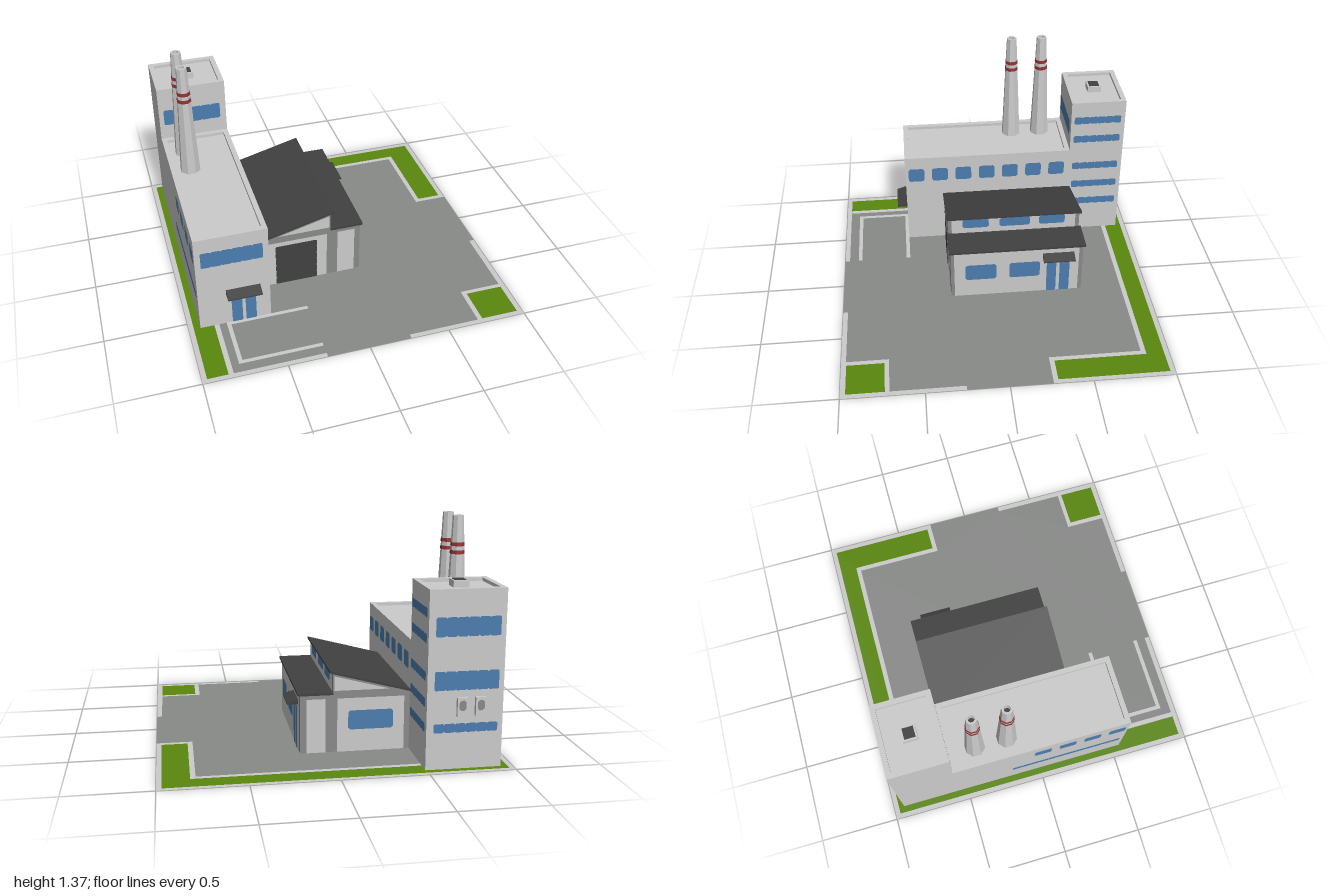
import * as THREE from 'three';

const mat = (name, color, side = THREE.FrontSide) => {
  const m = new THREE.MeshStandardMaterial({ color, side });
  m.name = name;
  return m;
};

export function createModel() {
  const model = new THREE.Group();
  model.name = 'factory';
  const wall = mat('pale concrete', 0xcbcbcb, THREE.DoubleSide);
  const grey = mat('asphalt grey', 0x888a88, THREE.DoubleSide);
  const grass = mat('grass green', 0x5a870d, THREE.DoubleSide);
  const dark = mat('dark roofing', 0x414141);
  const glass = mat('window blue', 0x4b7db0);
  const red = mat('warning red', 0x963232);

  const add = (name, geo, material, parent = model) => {
    const m = new THREE.Mesh(geo, material);
    m.name = name;
    parent.add(m);
    return m;
  };
  const path = (pts) => pts.map(([x, y]) => new THREE.Vector2(x, y));
  const box = (name, x0, x1, y0, y1, z0, z1, material) =>
    add(name, new THREE.BoxGeometry(x1 - x0, y1 - y0, z1 - z0), material)
      .position.set((x0 + x1) / 2, (y0 + y1) / 2, (z0 + z1) / 2);

  // Ground sheet, drawn in x and z
  const ground = (name, pts, material, hole, y = 0) => {
    const flip = (p) => path(p.map(([x, z]) => [x, -z]));
    const s = new THREE.Shape(flip(pts));
    if (hole) s.holes.push(new THREE.Path(flip(hole)));
    add(name, new THREE.ShapeGeometry(s).rotateX(-Math.PI / 2), material).position.y = y;
  };
  const rect = (x0, x1, z0, z1) => [[x0, z0], [x1, z0], [x1, z1], [x0, z1]];
  const lawn = [[-0.97, -0.97], [0.97, -0.97], [0.97, -0.29], [0.815, -0.29],
    [0.815, -0.86], [-0.845, -0.86], [-0.845, 0.97], [-0.97, 0.97]];
  const cornerLawn = rect(0.735, 0.968, 0.737, 0.968);
  ground('yard', [[-0.815, -0.83], [0.785, -0.83], [0.785, -0.26], [1, -0.26], [1, 0.255],
    [0.968, 0.255], [0.968, 0.71], [0.705, 0.71], [0.705, 0.97], [0.26, 0.97], [0.26, 1],
    [-0.26, 1], [-0.26, 0.97], [-0.815, 0.97]], grey);
  ground('lawn', lawn, grass);
  ground('cornerLawn', cornerLawn, grass);
  ground('kerb', [[-1, -1], [1, -1], [1, -0.26], [0.785, -0.26], [0.785, -0.83], [-0.815, -0.83],
    [-0.815, 0.97], [-0.26, 0.97], [-0.26, 1], [-1, 1]], wall, lawn);
  ground('cornerKerb', [[1, 0.255], [1, 1], [0.26, 1], [0.26, 0.97], [0.705, 0.97], [0.705, 0.71],
    [0.968, 0.71], [0.968, 0.255]], wall, cornerLawn);
  ground('parkingLine', [[-0.77, 0.555], [-0.26, 0.555], [-0.26, 0.58], [-0.745, 0.58],
    [-0.745, 0.885], [-0.26, 0.885], [-0.26, 0.91], [-0.77, 0.91]], wall, null, 0.002);

  // Thin plate on a wall; u runs along x (front, back) or z (sides)
  const turns = { front: 0, right: Math.PI / 2, back: Math.PI, left: -Math.PI / 2 };
  const plate = (name, face, d, u0, u1, y0, y1, material, r = 0.012) => {
    const w = (u1 - u0) / 2, h = (y1 - y0) / 2;
    const s = new THREE.Shape(path(r === 0
      ? [[-w, -h], [w, -h], [w, h], [-w, h]]
      : [[-w + r, -h], [w - r, -h], [w, -h + r], [w, h - r], [w - r, h], [-w + r, h], [-w, h - r], [-w, -h + r]]));
    const m = add(name, new THREE.ShapeGeometry(s), material);
    m.rotation.y = turns[face];
    const u = (u0 + u1) / 2, y = (y0 + y1) / 2;
    if (face === 'front' || face === 'back') m.position.set(u, y, d);
    else m.position.set(d, y, u);
  };
  // Ribbon window made of adjoining panes
  const ribbon = (name, face, d, u0, u1, y0, y1, n = 6) => {
    const step = (u1 - u0) / n;
    for (let i = 0; i < n; i++) plate(name, face, d, u0 + i * step, u0 + (i + 1) * step, y0, y1, glass, 0.007);
  };

  // Flat-roofed block with a raised parapet
  const block = (name, z0, z1, h) => {
    const x0 = -0.93, x1 = -0.49, t = 0.032, drop = 0.02;
    box(name, x0, x1, 0, h - drop, z0, z1, wall);
    const s = new THREE.Shape(path(rect(x0, x1, -z1, -z0)));
    s.holes.push(new THREE.Path(path(rect(x0 + t, x1 - t, -z1 + t, -z0 - t))));
    const g = new THREE.ExtrudeGeometry(s, { depth: drop, bevelEnabled: false }).rotateX(-Math.PI / 2);
    add(name + 'Parapet', g, wall).position.y = h - drop;
  };
  block('tower', -0.935, -0.57, 1.03);
  block('longBlock', -0.57, 0.555, 0.665);

  // Tower and long block windows
  ribbon('towerFrontWindow', 'front', -0.567, -0.9, -0.53, 0.765, 0.875);
  ribbon('frontWindow', 'front', 0.558, -0.895, -0.525, 0.46, 0.57);
  for (const y of [0.215, 0.36, 0.51, 0.725, 0.87])
    ribbon('towerSideWindow', 'right', -0.487, -0.907, -0.592, y, y + 0.053);
  for (const [y0, y1] of [[0.215, 0.268], [0.46, 0.57], [0.765, 0.875]])
    ribbon('towerBackWindow', 'back', -0.938, -0.9, -0.53, y0, y1);
  for (let i = 0; i < 7; i++) {
    const z = 0.48 - i * 0.16;
    plate('sideWindow', 'right', -0.487, z - 0.054, z + 0.054, 0.48, 0.58, glass);
    if (i < 4) plate('leftWindow', 'left', -0.933, z - 0.054, z + 0.054, 0.48, 0.58, glass);
  }
  ribbon('leftRibbonWindow', 'left', -0.933, -0.19, 0.53, 0.215, 0.268, 12);

  // Roof vent and wall cooling units
  box('roofVent', -0.755, -0.665, 1.0, 1.05, -0.795, -0.705, wall);
  box('ventOpening', -0.743, -0.677, 1.045, 1.053, -0.783, -0.717, dark);
  for (const x of [-0.795, -0.69]) {
    box('coolingUnit', x - 0.03, x + 0.03, 0.31, 0.42, -0.957, -0.93, wall);
    plate('coolingGrille', 'back', -0.959, x - 0.02, x + 0.02, 0.345, 0.405, grey);
  }

  // Eight-sided chimneys with two red bands each
  const lathe = (pts) => {
    const g = new THREE.LatheGeometry(path(pts), 8, Math.PI / 8).toNonIndexed();
    g.computeVertexNormals();
    return g;
  };
  const radius = (y) => 0.064 - 0.031 * (y - 0.64) / 0.73;
  for (const z of [-0.4, -0.2]) {
    const chimney = new THREE.Group();
    chimney.name = 'chimney';
    chimney.position.set(-0.805, 0, z);
    model.add(chimney);
    add('stack', lathe([[radius(0.64), 0.64], [radius(1.37), 1.37], [0.02, 1.37], [0.02, 1.3]]), wall, chimney);
    add('flue', lathe([[0.021, 1.31], [0, 1.31]]), dark, chimney);
    for (const y of [1.142, 1.189])
      add('band', lathe([[radius(y), y], [radius(y) + 0.002, y], [radius(y + 0.022) + 0.002, y + 0.022],
        [radius(y + 0.022), y + 0.022]]), red, chimney);
  }

  // Workshop: stepped profile extruded along z
  const along = (name, pts, z0, z1, material) =>
    add(name, new THREE.ExtrudeGeometry(new THREE.Shape(path(pts)), { depth: z1 - z0, bevelEnabled: false }),
      material).position.z = z0;
  along('workshop', [[-0.49, 0], [0.165, 0], [0.165, 0.355], [-0.03, 0.355], [-0.03, 0.481], [-0.49, 0.357]],
    -0.565, 0.295, grey);
  along('upperRoof', [[-0.49, 0.357], [-0.01, 0.484], [-0.01, 0.497], [-0.49, 0.37]], -0.58, 0.305, dark);
  box('lowerRoof', -0.03, 0.18, 0.354, 0.368, -0.58, 0.305, dark);

  // Pale infill panels between the workshop's grey frame
  for (const [face, d] of [['front', 0.298], ['back', -0.568]]) {
    plate('wallPanel', face, d, -0.457, -0.055, 0, 0.328, wall, 0);
    plate('narrowPanel', face, d, 0.015, 0.128, 0, 0.328, wall, 0);
    const gable = new THREE.Shape(path([[-0.37, 0.375], [-0.037, 0.375], [-0.037, 0.463]]));
    add('gablePanel', new THREE.ShapeGeometry(gable), wall).position.z = d;
  }
  plate('sidePanel', 'right', 0.168, -0.54, 0.272, 0, 0.354, wall, 0);
  plate('clerestoryPanel', 'right', -0.027, -0.54, 0.272, 0.368, 0.478, wall, 0);

  // Workshop openings
  for (let i = 0; i < 6; i++)
    plate('shutterSlat', 'front', 0.301, -0.39, -0.12, i * 0.05, (i + 1) * 0.05, dark, 0.006);
  plate('backWindow', 'back', -0.571, -0.39, -0.12, 0.135, 0.252, glass);
  for (const [z0, z1] of [[0, 0.2], [-0.285, -0.085]])
    plate('workshopWindow', 'right', 0.171, z0, z1, 0.132, 0.252, glass);
  for (const [z0, z1] of [[0.03, 0.2], [-0.24, -0.04], [-0.47, -0.3]])
    plate('clerestoryWindow', 'right', -0.024, z0, z1, 0.408, 0.475, glass);

  // Double doors under wedge canopies
  for (const [z0, z1] of [[-0.393, -0.33], [-0.48, -0.415]])
    plate('sideDoor', 'right', 0.171, z0, z1, 0, 0.262, glass, 0.006);
  for (const [x0, x1] of [[-0.73, -0.665], [-0.645, -0.58]])
    plate('frontDoor', 'front', 0.558, x0, x1, 0, 0.207, glass, 0.006);
  const canopy = (w) => new THREE.ExtrudeGeometry(
    new THREE.Shape(path([[0, 0], [0.068, 0], [0.068, 0.007], [0, 0.03]])), { depth: w, bevelEnabled: false });
  add('sideCanopy', canopy(0.205), dark).position.set(0.165, 0.284, -0.507);
  const frontCanopy = add('frontCanopy', canopy(0.21), dark);
  frontCanopy.rotation.y = -Math.PI / 2;
  frontCanopy.position.set(-0.55, 0.23, 0.555);

  return model;
}
